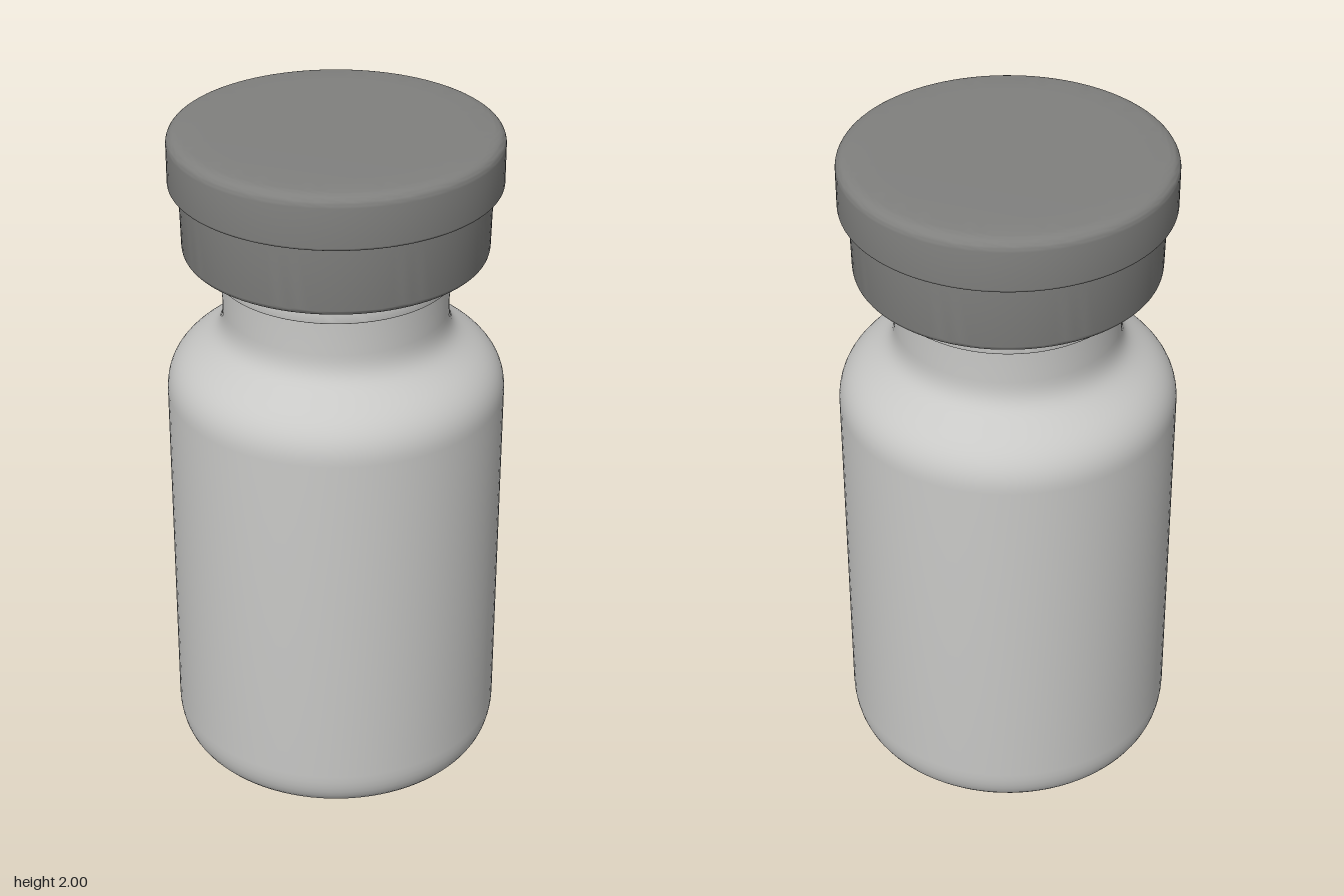
import * as THREE from 'three';
import { toCreasedNormals } from 'three/addons/utils/BufferGeometryUtils.js';

const SEGMENTS = 96;

// Spin a profile running from the axis below, outwards and up, back to the axis.
function turned(name, profile, material) {
  const lathe = new THREE.LatheGeometry(profile.getPoints(10), SEGMENTS);
  const mesh = new THREE.Mesh(toCreasedNormals(lathe, 0.6), material);
  mesh.name = name;
  return mesh;
}

export function createModel() {
  const glass = new THREE.MeshStandardMaterial({ color: 0xc8c8c6 });
  glass.name = 'pale grey glass';
  const rubber = new THREE.MeshStandardMaterial({ color: 0x80807e });
  rubber.name = 'dark grey cap';

  // Bottle: dished base, rounded foot, straight wall, soft shoulder, neck and lip
  const bottle = new THREE.Path();
  bottle.moveTo(0, 0.03);
  bottle.lineTo(0.27, 0.025);
  bottle.bezierCurveTo(0.32, 0.022, 0.34, 0, 0.39, 0);
  bottle.bezierCurveTo(0.46, 0, 0.49, 0.05, 0.49, 0.13);
  bottle.lineTo(0.49, 1.2);
  bottle.bezierCurveTo(0.49, 1.27, 0.455, 1.31, 0.4, 1.345);
  bottle.bezierCurveTo(0.355, 1.375, 0.325, 1.39, 0.325, 1.46);
  bottle.lineTo(0.325, 1.565);
  bottle.lineTo(0.338, 1.565);
  bottle.quadraticCurveTo(0.345, 1.565, 0.345, 1.573);
  bottle.lineTo(0.345, 1.595);
  bottle.quadraticCurveTo(0.345, 1.612, 0.33, 1.612);
  bottle.lineTo(0.325, 1.615);
  bottle.lineTo(0.325, 1.67);
  bottle.lineTo(0, 1.67);

  // Cap: recessed underside, lower skirt, wider upper disc with rounded rim
  const cap = new THREE.Path();
  cap.moveTo(0, 1.66);
  cap.lineTo(0.36, 1.66);
  cap.lineTo(0.37, 1.635);
  cap.lineTo(0.415, 1.635);
  cap.quadraticCurveTo(0.435, 1.635, 0.436, 1.66);
  cap.lineTo(0.44, 1.843);
  cap.lineTo(0.462, 1.843);
  cap.quadraticCurveTo(0.47, 1.843, 0.47, 1.853);
  cap.lineTo(0.47, 1.965);
  cap.quadraticCurveTo(0.468, 1.995, 0.43, 1.998);
  cap.lineTo(0.36, 2);
  cap.lineTo(0, 2);

  const model = new THREE.Group();
  model.name = 'cappedBottle';
  model.add(turned('bottle', bottle, glass), turned('cap', cap, rubber));
  return model;
}
